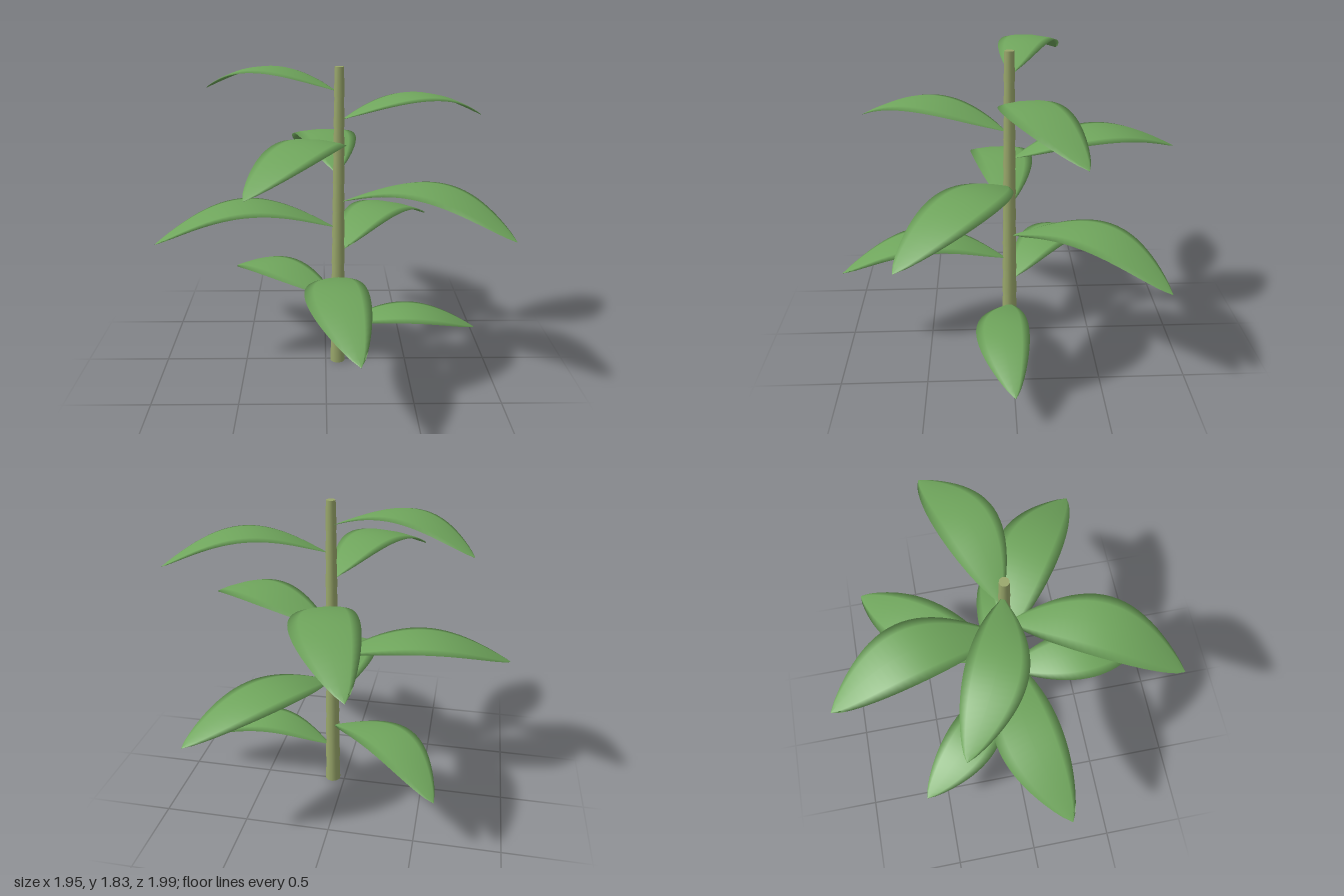
import * as THREE from 'three';

const LEAVES = 10, NODES = 11, HEIGHT = 1.83;
const GOLDEN_ANGLE = Math.PI * (3 - Math.sqrt(5));

// Thin, arched leaf along +x: lens cross-sections swept from base to tip,
// with the midrib bowed sideways towards +z (side 1) or -z (side -1)
function leafGeometry(length, side) {
  const rows = 24, sides = 8, start = 0.032;
  const pos = [], index = [];
  for (let i = 0; i <= rows; i++) {
    const t = i / rows;
    const bulge = Math.sin(Math.PI * Math.min(t, 0.9999));
    const width = Math.max(length * 0.176 * Math.pow(bulge, 0.78), t < 0.5 ? 0.012 : 0.001);
    const thick = 0.0015 + 0.0045 * Math.sqrt(bulge);
    const x = start + (length - start) * t;
    const y = length * (0.148 * bulge - 0.04 * t);
    const z = side * length * 0.064 * bulge;
    for (let j = 0; j < sides; j++) {
      const a = (j / sides) * Math.PI * 2;
      const droop = 0.012 * bulge * Math.cos(a) ** 2; // edges hang below the midrib
      pos.push(x, y + thick * Math.sin(a) - droop, z + width * Math.cos(a));
    }
  }
  for (let i = 0; i < rows; i++) {
    for (let j = 0; j < sides; j++) {
      const k = (j + 1) % sides;
      const a = i * sides + j, b = i * sides + k, c = a + sides, d = b + sides;
      index.push(a, c, b, b, c, d);
    }
  }
  // End caps
  const last = rows * sides;
  for (let j = 1; j < sides - 1; j++) {
    index.push(0, j, j + 1, last, last + j + 1, last + j);
  }
  const g = new THREE.BufferGeometry();
  g.setAttribute('position', new THREE.Float32BufferAttribute(pos, 3));
  g.setIndex(index);
  g.computeVertexNormals();
  return g;
}

export function createModel() {
  const model = new THREE.Group();
  model.name = 'plant';
  const leafGreen = new THREE.MeshStandardMaterial({ name: 'leafGreen', color: 0x6fa55c });
  const stalkGreen = new THREE.MeshStandardMaterial({ name: 'stalkGreen', color: 0x98a66a });

  const plant = new THREE.Group();
  plant.name = 'stalkAndLeaves';
  plant.position.set(0.075, 0, 0.008);
  model.add(plant);

  // Jointed stalk, each joint a little thinner than the one below
  const step = HEIGHT / NODES;
  for (let i = 0; i < NODES; i++) {
    const r = 0.047 - 0.0016 * i;
    const joint = new THREE.Mesh(new THREE.CylinderGeometry(r - 0.0045, r, step, 10), stalkGreen);
    joint.name = 'stalkJoint' + (i + 1);
    joint.position.y = (i + 0.5) * step;
    plant.add(joint);
  }

  // Leaves spiral up the stalk, longest at mid-height, bowing to alternate sides
  for (let i = 0; i < LEAVES; i++) {
    const length = 0.85 + 0.22 * Math.sin((Math.PI * i) / (LEAVES - 1));
    const leaf = new THREE.Mesh(leafGeometry(length, i % 2 ? -1 : 1), leafGreen);
    leaf.name = 'leaf' + (i + 1);
    leaf.position.y = 0.26 + 0.16 * i;
    leaf.rotation.y = i * GOLDEN_ANGLE;
    plant.add(leaf);
  }
  return model;
}
